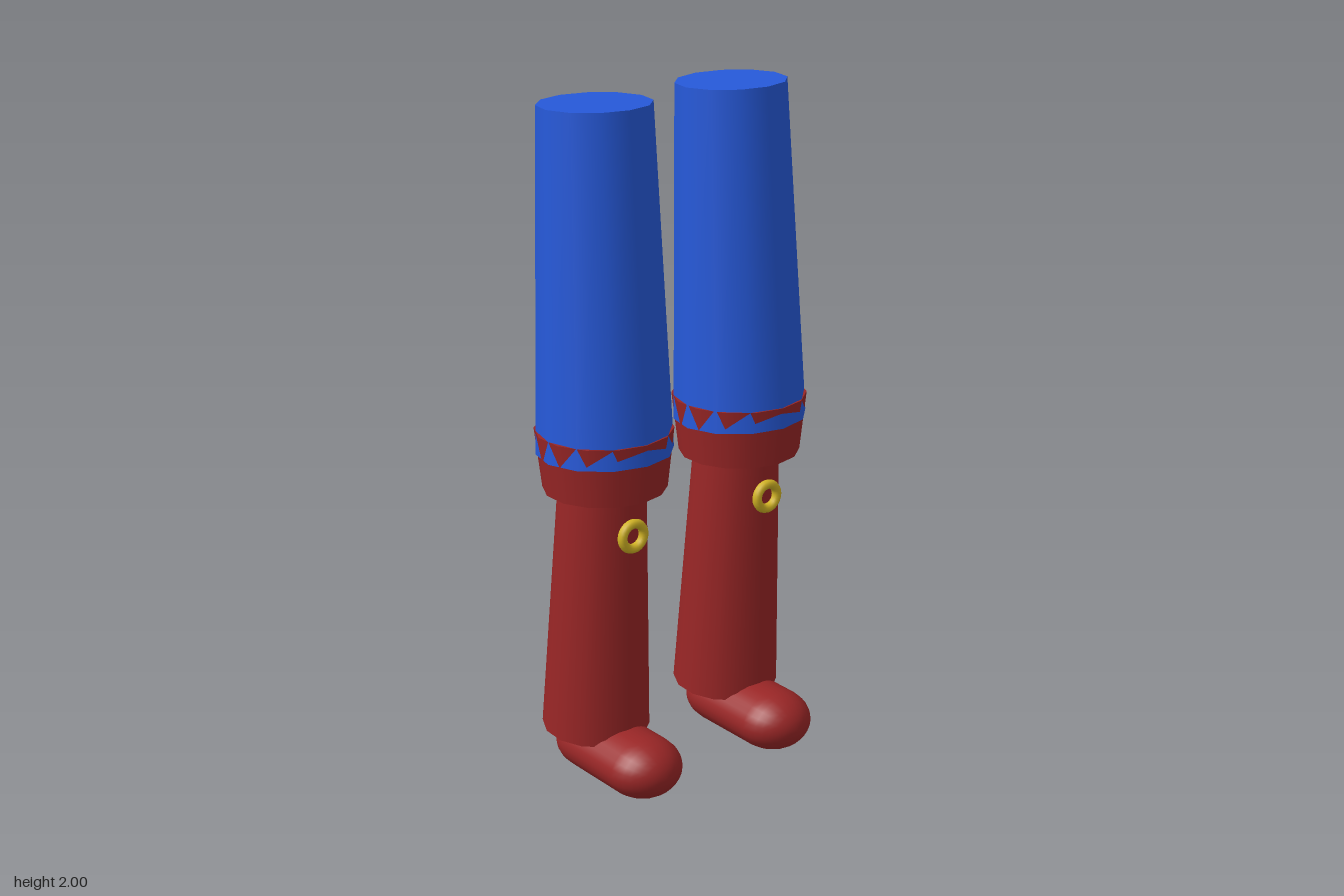
import * as THREE from 'three';

export function createModel() {
  const model = new THREE.Group();
  model.name = 'legs';

  const material = (name, color) => {
    const m = new THREE.MeshStandardMaterial({ color });
    m.name = name;
    return m;
  };
  const blue = material('trouser blue', 0x2659d9);
  const red = material('boot red', 0x992626);
  const gold = material('buckle gold', 0xd1b324);

  const add = (parent, name, geometry, mat, x, y, z) => {
    const mesh = new THREE.Mesh(geometry, mat);
    mesh.name = name;
    mesh.position.set(x, y, z);
    parent.add(mesh);
    return mesh;
  };

  // Tapered limb running from a bottom point to a top point
  const up = new THREE.Vector3(0, 1, 0);
  const limb = (parent, name, mat, bottom, rBottom, top, rTop, sides) => {
    const a = new THREE.Vector3(...bottom);
    const axis = new THREE.Vector3(...top).sub(a);
    const mid = a.clone().addScaledVector(axis, 0.5);
    const geometry = new THREE.CylinderGeometry(rTop, rBottom, axis.length(), sides);
    const mesh = add(parent, name, geometry, mat, mid.x, mid.y, mid.z);
    mesh.quaternion.setFromUnitVectors(up, axis.normalize());
  };

  for (const [side, s] of [['left', 1], ['right', -1]]) {
    const leg = new THREE.Group();
    leg.name = side + 'Leg';
    const x = s * 0.245;

    // Trouser leg, leaning slightly back
    limb(leg, 'thigh', blue, [x, 1.013, -0.03], 0.195, [s * 0.237, 1.993, -0.071], 0.16, 12);

    // Boot: flared cuff, leaning shaft, ankle and foot
    limb(leg, 'bootCuff', red, [x, 0.905, -0.032], 0.177, [x, 1.08, -0.034], 0.197, 14);
    limb(leg, 'bootShaft', red, [x, 0.145, -0.09], 0.157, [x, 0.93, -0.044], 0.125, 14);
    add(leg, 'ankle', new THREE.SphereGeometry(0.123, 24, 16), red, x, 0.215, -0.1);

    const foot = new THREE.CapsuleGeometry(0.115, 0.23, 8, 24).rotateX(Math.PI / 2).scale(1, 0.765, 1);
    add(leg, 'foot', foot, red, x, 0.09, 0.02);

    // Ring buckle on the front of the shaft
    add(leg, 'buckleRing', new THREE.TorusGeometry(0.037, 0.014, 10, 24), gold, x, 0.793, 0.097);

    model.add(leg);
  }

  return model;
}
